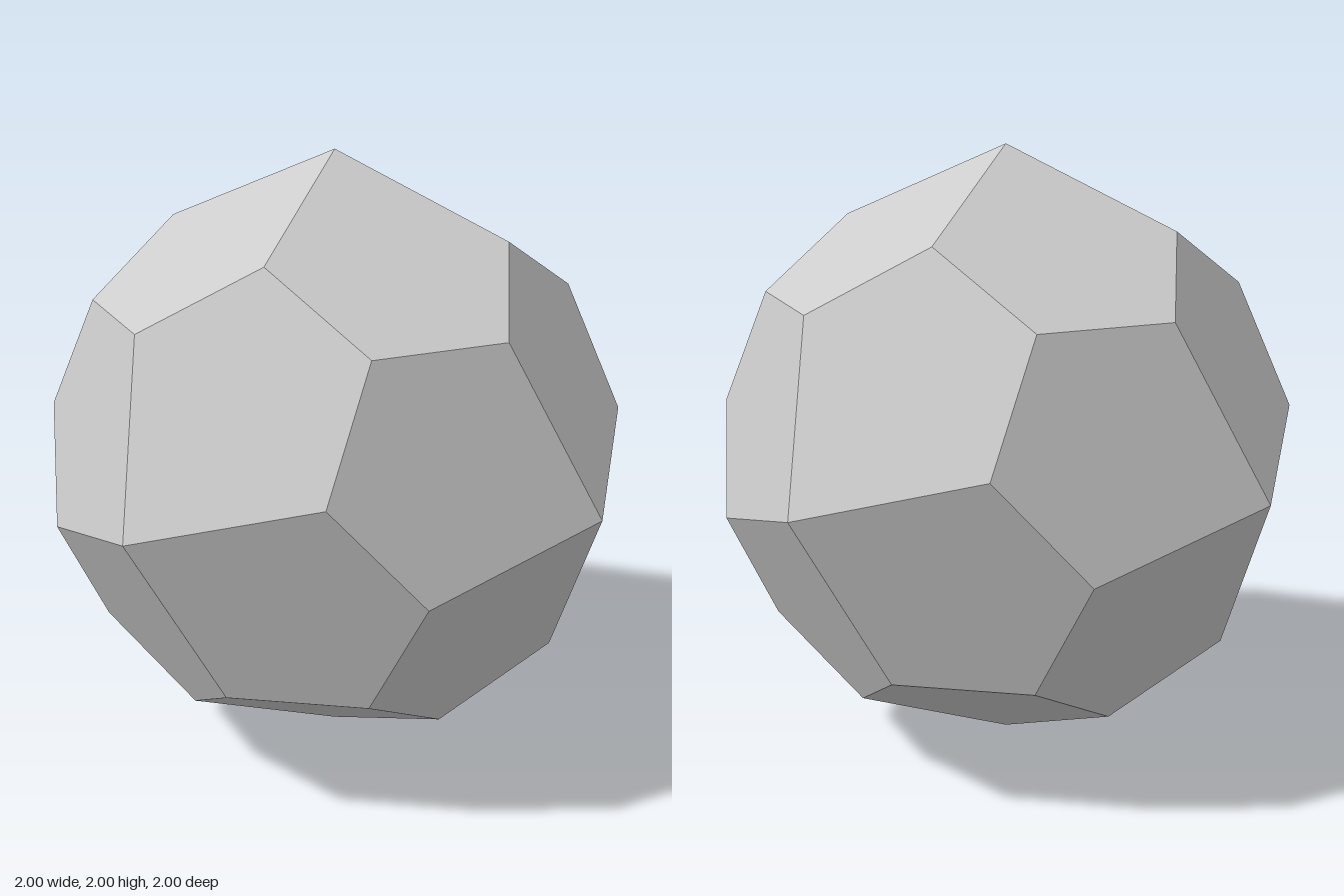
import * as THREE from 'three';

// Pentagonal icositetrahedron: one pentagon repeated by the 24 rotations of a cube.
export function createModel() {
  const t = 1.8392867552; // tribonacci constant
  const a = 1 / t ** 3, b = 1 / t, c = (2 * t + 1) / t ** 3;

  // One face, counter-clockwise, with its tip on the +z axis
  const pentagon = [[0, 0, 1], [b, a, c], [b, b, b], [a, c, b], [-a, b, c]]
    .map(p => new THREE.Vector3(...p));

  // Turns taking the +z axis to each of the six axis directions
  const q = Math.PI / 2;
  const tilts = [[0, 0], [q, 0], [2 * q, 0], [-q, 0], [0, q], [0, -q]];

  const positions = [];
  for (const [rx, ry] of tilts) {
    for (let spin = 0; spin < 4; spin++) {
      const turn = new THREE.Euler(rx, ry, spin * q);
      const face = pentagon.map(p => p.clone().applyEuler(turn));
      for (let i = 1; i < 4; i++) {
        for (const p of [face[0], face[i], face[i + 1]]) positions.push(p.x, p.y, p.z);
      }
    }
  }

  const geometry = new THREE.BufferGeometry();
  geometry.setAttribute('position', new THREE.Float32BufferAttribute(positions, 3));
  geometry.computeVertexNormals();

  const solid = new THREE.Mesh(
    geometry,
    new THREE.MeshStandardMaterial({ color: 0xcccccc, flatShading: true })
  );
  solid.name = 'pentagonalSolid';
  solid.position.y = 1; // stands on the ground

  const group = new THREE.Group();
  group.name = 'pentagonalIcositetrahedron';
  group.add(solid);
  return group;
}
